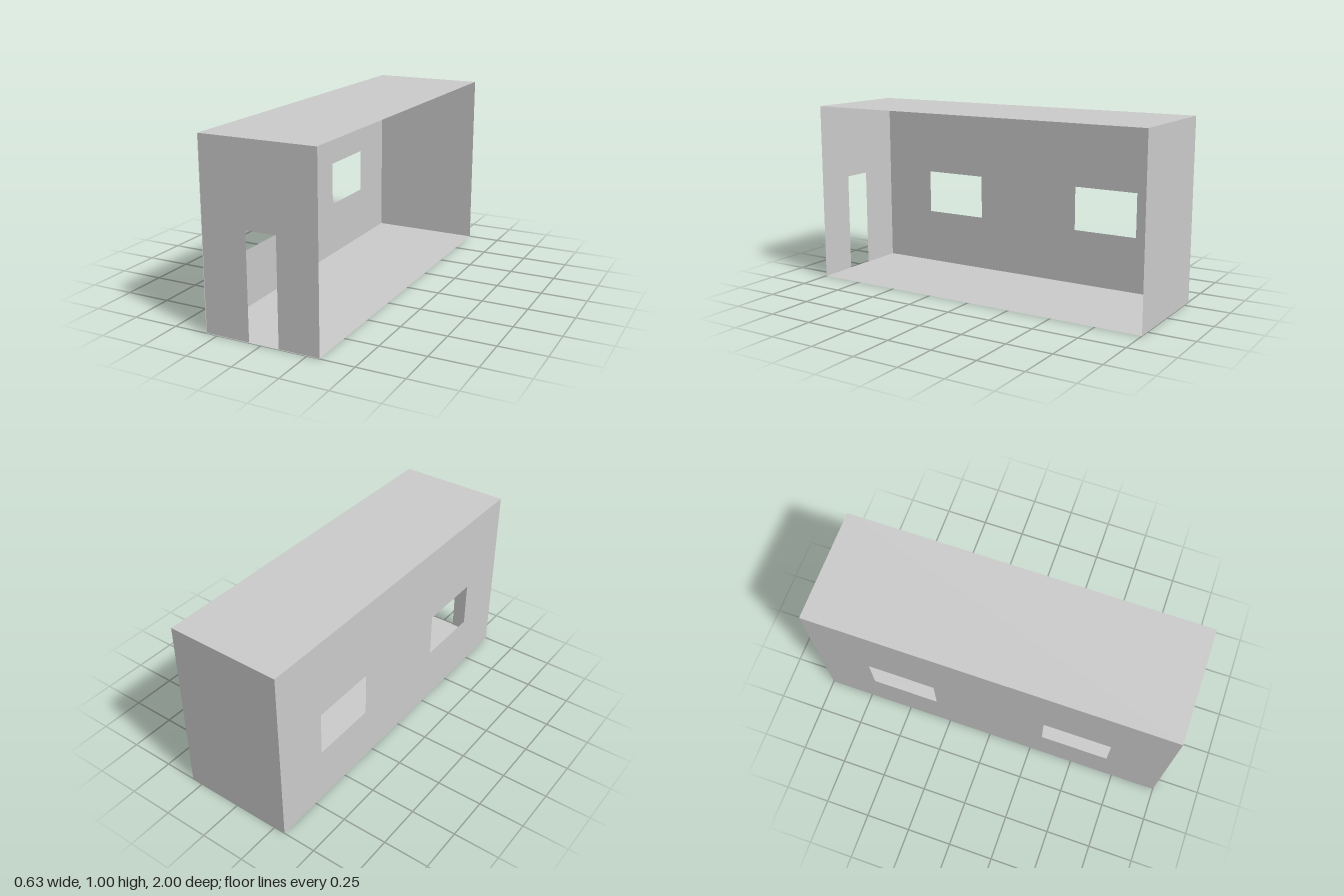
import * as THREE from 'three';

const HALF_W = 0.315, H = 1, HALF_L = 1;
const material = new THREE.MeshStandardMaterial({ color: 0xcccccc, side: THREE.DoubleSide });

// Closed outline from a list of corners
const outline = (Type, pts) => new Type(pts.map(([x, y]) => new THREE.Vector2(x, y)));
const rect = (x0, y0, x1, y1) => [[x0, y0], [x1, y0], [x1, y1], [x0, y1]];

export function createModel() {
  const group = new THREE.Group();
  const add = (name, geometry) => {
    const mesh = new THREE.Mesh(geometry, material);
    mesh.name = name;
    group.add(mesh);
    return mesh;
  };
  const panel = (pts, holes = []) => {
    const shape = outline(THREE.Shape, pts);
    shape.holes = holes.map((h) => outline(THREE.Path, h));
    return new THREE.ShapeGeometry(shape);
  };

  // Floor and roof sheets
  const slab = rect(-HALF_W, -HALF_L, HALF_W, HALF_L);
  add('floor', panel(slab).rotateX(Math.PI / 2));
  add('roof', panel(slab).rotateX(-Math.PI / 2).translate(0, H, 0));

  // Front wall with a doorway notch, set just behind the slab edges
  const doorL = -0.07, doorR = 0.095, doorH = 0.563;
  add('frontWall', panel([
    [-HALF_W, 0], [doorL, 0], [doorL, doorH], [doorR, doorH],
    [doorR, 0], [HALF_W, 0], [HALF_W, H], [-HALF_W, H],
  ]).translate(0, 0, HALF_L - 0.004));

  // Solid back wall
  add('backWall', panel(rect(-HALF_W, 0, HALF_W, H)).rotateY(Math.PI).translate(0, 0, -HALF_L));

  // Long side wall with two windows; the opposite side stays open
  const windows = [-0.5, 0.5].map((z) => rect(z - 0.1875, 0.3125, z + 0.1875, 0.5625));
  add('windowWall', panel(rect(-HALF_L, 0, HALF_L, H), windows)
    .rotateY(-Math.PI / 2).translate(-HALF_W, 0, 0));

  return group;
}
